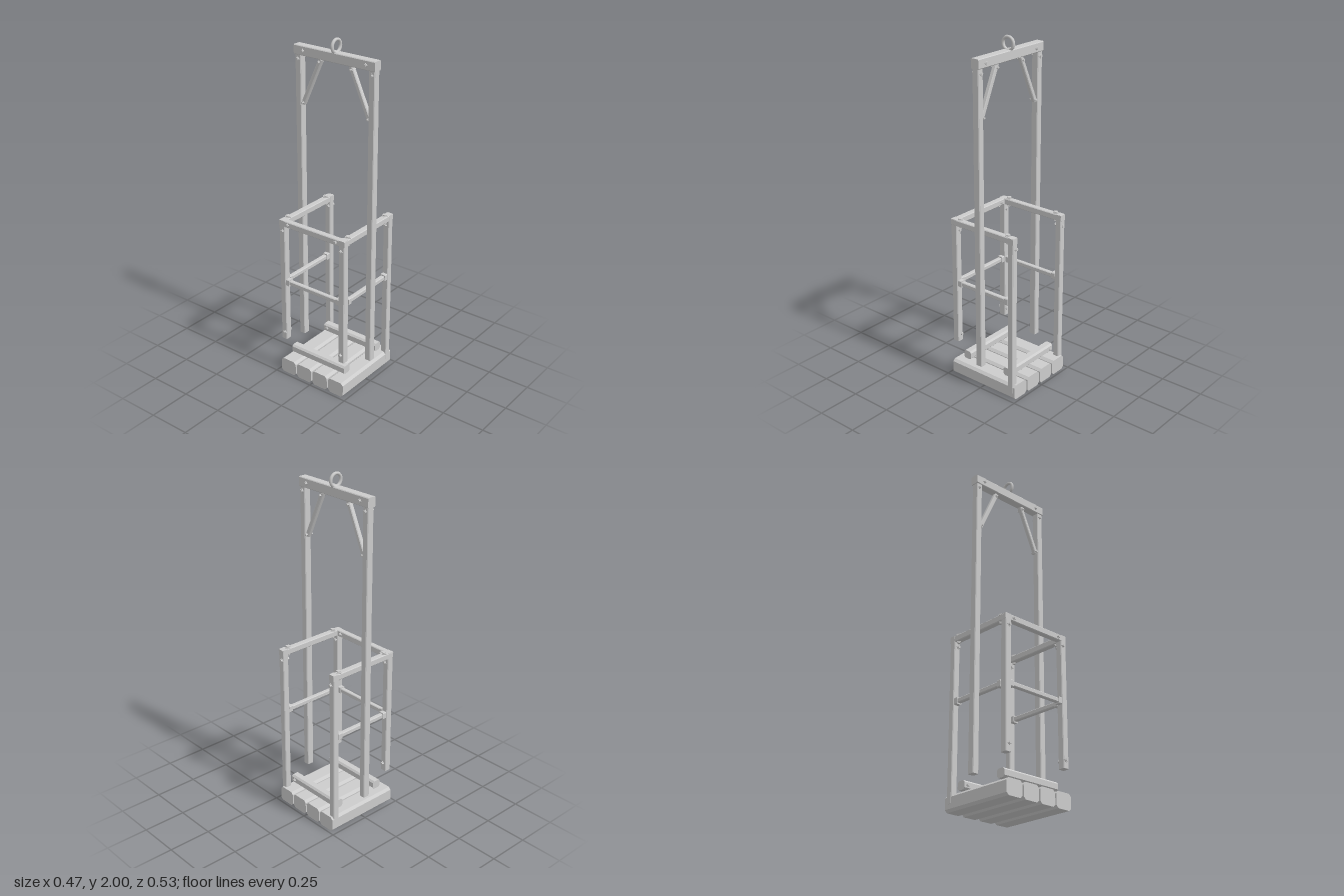
import * as THREE from 'three';

const mat = new THREE.MeshStandardMaterial({ color: 0xcccccc, flatShading: true });
const V = (x, y, z) => new THREE.Vector3(x, y, z);

// Chamfered timber running from a to b, w wide and h deep
function beam(name, a, b, w, h, c = 0.004) {
  const x = w / 2, y = h / 2;
  const s = new THREE.Shape([
    [x, c - y], [x, y - c], [x - c, y], [c - x, y],
    [-x, y - c], [-x, c - y], [c - x, -y], [x - c, -y],
  ].map(p => new THREE.Vector2(...p)));
  const dir = b.clone().sub(a);
  const geo = new THREE.ExtrudeGeometry(s, { depth: dir.length(), bevelEnabled: false });
  const m = new THREE.Mesh(geo, mat);
  m.name = name;
  m.quaternion.setFromUnitVectors(V(0, 0, 1), dir.normalize());
  m.position.copy(a);
  return m;
}

// Square washer with a bolt head, seated at p and pointing along dir
function bolt(p, dir, r = 0.017) {
  const g = new THREE.Group();
  g.name = 'bolt';
  const washer = new THREE.Mesh(new THREE.CylinderGeometry(r, r, 0.005, 4), mat);
  washer.position.y = 0.002;
  washer.name = 'washer';
  const head = new THREE.Mesh(new THREE.CylinderGeometry(r * 0.65, r * 0.65, 0.009, 6), mat);
  head.position.y = 0.006;
  head.name = 'boltHead';
  g.add(washer, head);
  g.quaternion.setFromUnitVectors(V(0, 1, 0), dir);
  g.position.copy(p);
  return g;
}

export function createModel() {
  const model = new THREE.Group();
  const add = (...o) => model.add(...o);
  // Bolt heads on both x faces of a member centred at x
  const boltX = (x, y, z, half, r = 0.013) => {
    for (const s of [-1, 1]) add(bolt(V(x + s * half, y, z), V(s, 0, 0), r));
  };

  // Floor planks
  for (const z of [-0.173, -0.058, 0.057, 0.172])
    add(beam('floorPlank', V(-0.23, 0.05, z), V(0.232, 0.05, z), 0.106, 0.09, 0.014));

  // Floor cross beams
  for (const x of [-0.148, 0.15])
    add(beam('crossBeam', V(x, 0.14, -0.19), V(x, 0.14, 0.19), 0.053, 0.05, 0.01));

  // Hanging beam and lifting ring
  add(beam('hangingBeam', V(0, 1.898, -0.265), V(0, 1.898, 0.263), 0.05, 0.054));
  const ring = new THREE.Mesh(new THREE.TorusGeometry(0.035, 0.009, 8, 28),
    new THREE.MeshStandardMaterial({ color: 0xcccccc }));
  ring.position.y = 1.956;
  ring.name = 'liftingRing';
  add(ring);

  // Mirrored parts at the front and back
  for (const s of [-1, 1]) {
    // Tall post and diagonal brace
    add(beam('tallPost', V(0, 0.155, s * 0.241), V(0, 1.872, s * 0.241), 0.042, 0.038));
    add(beam('brace', V(0, 1.6, s * 0.22), V(0, 1.868, s * 0.098), 0.026, 0.024));
    boltX(0, 1.897, s * 0.205, 0.025);
    boltX(0, 1.848, s * 0.241, 0.021);
    boltX(0, 1.852, s * 0.105, 0.013, 0.009);
    boltX(0, 1.608, s * 0.216, 0.013, 0.009);

    // Railing posts, the left pair reaching the floor
    const z = s * 0.208;
    add(beam('shortPost', V(-0.203, 0.23, z - s * 0.002), V(-0.203, 0.988, z - s * 0.002), 0.04, 0.038));
    add(beam('longPost', V(0.202, 0.045, z), V(0.202, 0.988, z), 0.037, 0.038));
    boltX(-0.203, 0.925, s * 0.202, 0.02);
    boltX(-0.203, 0.275, s * 0.202, 0.02);
    boltX(0.202, 0.925, s * 0.202, 0.0185);
    boltX(0.15, 0.14, s * 0.167, 0.026);

    // Side rails with bolts and end collars
    add(beam('topRail', V(-0.222, 0.97, z), V(0.222, 0.97, z), 0.036, 0.036));
    add(beam('middleRail', V(-0.185, 0.603, z), V(0.185, 0.603, z), 0.026, 0.026));
    for (const x of [-0.167, 0.17]) {
      add(bolt(V(x, 0.988, z), V(0, 1, 0), 0.02));
      add(bolt(V(x, 0.952, z), V(0, -1, 0), 0.014));
      add(beam('railCollar', V(x - 0.012, 0.603, z), V(x + 0.012, 0.603, z), 0.034, 0.04));
    }

    // Fixings of the end rails
    boltX(-0.205, 0.97, s * 0.167, 0.018);
    add(beam('railCollar', V(-0.203, 0.603, s * 0.165), V(-0.203, 0.603, s * 0.188), 0.034, 0.04));
  }

  // Rails across the right end
  add(beam('endTopRail', V(-0.205, 0.97, -0.2), V(-0.205, 0.97, 0.2), 0.036, 0.036));
  add(beam('endMiddleRail', V(-0.203, 0.603, -0.19), V(-0.203, 0.603, 0.19), 0.026, 0.026));

  return model;
}
